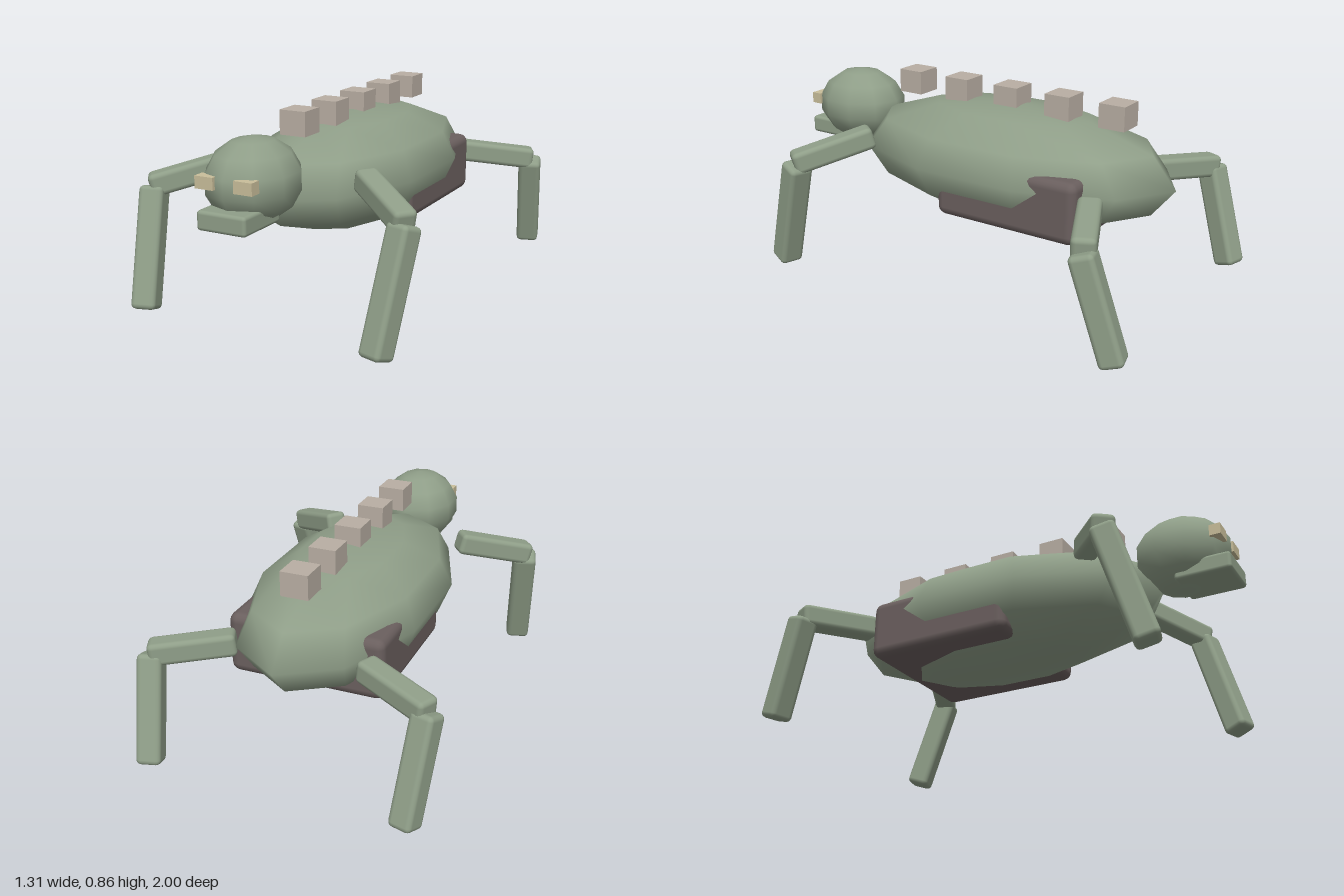
import * as THREE from 'three';
import { RoundedBoxGeometry } from 'three/addons/geometries/RoundedBoxGeometry.js';

const material = (name, color) => Object.assign(new THREE.MeshStandardMaterial({ color }), { name });

export function createModel() {
  const model = new THREE.Group();
  model.name = 'creature';
  const skin = material('sage green skin', 0x8f9e88);
  const belly = material('dark brown underside', 0x6a5f5e);
  const bone = material('pale bone', 0xb8aea3);
  const eyeColor = material('cream eye', 0xc9be9a);

  const add = (name, geometry, mat, x, y, z) => {
    const mesh = new THREE.Mesh(geometry, mat);
    mesh.name = name;
    mesh.position.set(x, y, z);
    model.add(mesh);
    return mesh;
  };

  // Low-sided smooth ellipsoid with a corner facing straight ahead
  const ellipsoid = (rx, ry, rz, rings) =>
    new THREE.SphereGeometry(1, 10, rings).rotateY(Math.PI / 2).scale(rx, ry, rz);

  // Bevelled bar running from one joint to the next
  const limb = (name, from, to, thickness) => {
    const a = new THREE.Vector3(...from), b = new THREE.Vector3(...to);
    const mid = a.clone().add(b).multiplyScalar(0.5);
    const bar = add(name, new RoundedBoxGeometry(thickness, thickness, a.distanceTo(b), 2, 0.022), skin, mid.x, mid.y, mid.z);
    bar.lookAt(b);
  };

  // Trunk and head
  add('body', ellipsoid(0.4, 0.258, 0.795, 6), skin, 0, 0.533, -0.115);
  add('head', ellipsoid(0.19, 0.173, 0.218, 7), skin, 0, 0.647, 0.762);
  add('snout', new RoundedBoxGeometry(0.22, 0.08, 0.25, 2, 0.015), skin, 0, 0.526, 0.873);

  // Underside block passing through the trunk
  add('undersideBlock', new RoundedBoxGeometry(0.69, 0.27, 0.69, 2, 0.04), belly, 0, 0.465, -0.285);

  // Row of blocks along the spine
  for (let i = 0; i < 5; i++) {
    add('spineBlock', new THREE.BoxGeometry(0.12, 0.105, 0.12), bone, 0, 0.813, 0.41 - i * 0.261);
  }

  // Eyes and legs, mirrored
  for (const s of [1, -1]) {
    add('eye', new THREE.BoxGeometry(0.082, 0.05, 0.05), eyeColor, s * 0.087, 0.668, 0.947);
    limb('frontUpperLeg', [s * 0.312, 0.615, 0.435], [s * 0.6, 0.52, 0.652], 0.1);
    limb('frontLowerLeg', [s * 0.588, 0.515, 0.637], [s * 0.543, 0.015, 0.79], 0.108);
    limb('rearUpperLeg', [s * 0.28, 0.505, -0.67], [s * 0.605, 0.465, -0.825], 0.1);
    limb('rearLowerLeg', [s * 0.597, 0.46, -0.815], [s * 0.56, 0.015, -0.95], 0.105);
  }
  return model;
}
